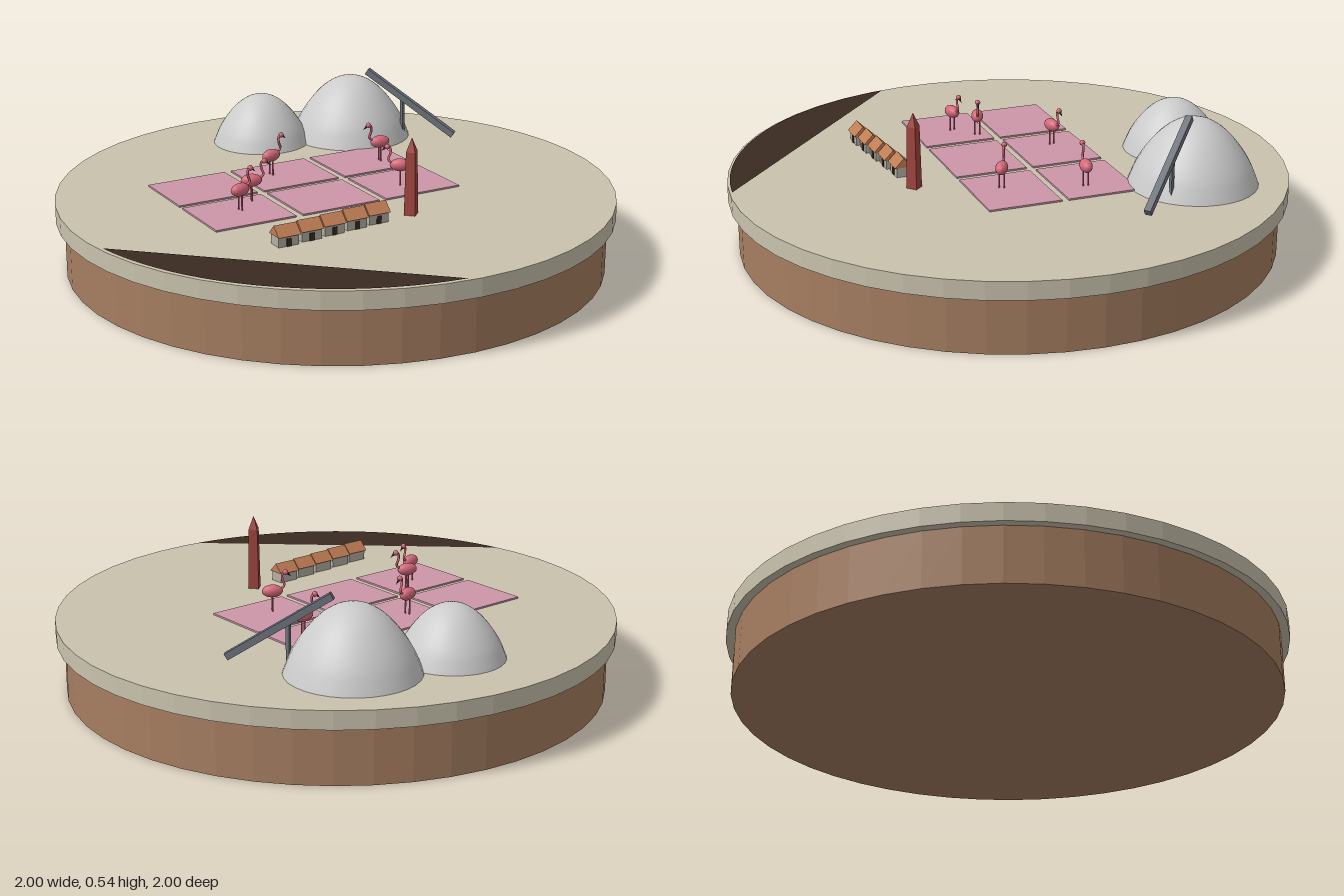
import * as THREE from 'three';

const mat = (name, color, extra = {}) => Object.assign(new THREE.MeshStandardMaterial({ color, ...extra }), { name });
const flat = { flatShading: true };
const M = {
  sand: mat('sand', 0xc9c2ad, flat),
  earth: mat('earth brown', 0xa67e61, flat),
  dark: mat('dark brown', 0x3a2b21),
  pad: mat('pond pink', 0xcb96a8),
  bird: mat('bird pink', 0xd4687a),
  salt: mat('pale grey', 0xcbcbcb),
  steel: mat('steel grey', 0x6c717a),
  brick: mat('brick red', 0xa0453f, flat),
  roof: mat('terracotta', 0xc07d55, flat),
  wall: mat('wall grey', 0xb5b0a4),
};
const V = (x, y, z) => new THREE.Vector3(x, y, z);
const TOP = 0.265;
const TURN = -0.35; // shared heading of the ponds and houses

function add(parent, name, geometry, material, x = 0, y = 0, z = 0) {
  const m = new THREE.Mesh(geometry, material);
  m.name = name;
  m.position.set(x, y, z);
  parent.add(m);
  return m;
}

function group(parent, name, x = 0, y = 0, z = 0, turn = 0) {
  const g = new THREE.Group();
  g.name = name;
  g.position.set(x, y, z);
  g.rotation.y = turn;
  parent.add(g);
  return g;
}

// Square bar between two points
function bar(parent, name, a, b, width, material) {
  const m = add(parent, name, new THREE.BoxGeometry(width, width, a.distanceTo(b)), material);
  m.position.copy(a).lerp(b, 0.5);
  m.lookAt(b);
}

// Wading bird facing local +x, feet at y = 0
function bird(parent, x, z, dx, dz) {
  const g = group(parent, 'wadingBird', x, TOP, z, -Math.atan2(dz, dx));
  const body = add(g, 'body', new THREE.SphereGeometry(1, 16, 12), M.bird, 0, 0.08, 0);
  body.scale.set(0.038, 0.023, 0.022);
  for (const s of [-1, 1]) {
    add(g, 'leg', new THREE.CylinderGeometry(0.003, 0.003, 0.07, 6), M.bird, 0, 0.035, s * 0.009);
  }
  const path = new THREE.CatmullRomCurve3([
    V(0.028, 0.085, 0), V(0.043, 0.1, 0), V(0.036, 0.122, 0), V(0.036, 0.142, 0), V(0.046, 0.15, 0),
  ]);
  add(g, 'neck', new THREE.TubeGeometry(path, 14, 0.0045, 6), M.bird);
  add(g, 'head', new THREE.SphereGeometry(0.01, 10, 8), M.bird, 0.047, 0.148, 0);
  const beak = add(g, 'beak', new THREE.ConeGeometry(0.006, 0.022, 6), M.dark, 0.06, 0.139, 0);
  beak.rotation.z = -2.3;
}

// Small terrace house with its ridge along local x
function house(parent, x, z) {
  const g = group(parent, 'house', x, TOP, z, TURN);
  add(g, 'walls', new THREE.BoxGeometry(0.076, 0.038, 0.052), M.wall, 0, 0.019, 0);
  add(g, 'door', new THREE.BoxGeometry(0.018, 0.027, 0.004), M.dark, 0, 0.0135, 0.027);
  const gable = new THREE.Shape([[-0.034, 0], [0.034, 0], [0, 0.034]].map(p => new THREE.Vector2(...p)));
  const roof = new THREE.ExtrudeGeometry(gable, { depth: 0.084, bevelEnabled: false });
  roof.translate(0, 0, -0.042).rotateY(Math.PI / 2);
  add(g, 'roof', roof, M.roof, 0, 0.036, 0);
}

// Rounded salt heap
function heap(parent, x, z, r, h) {
  const profile = [[1, 0], [0.95, 0.13], [0.86, 0.33], [0.7, 0.57], [0.5, 0.79], [0.3, 0.93], [0.13, 0.99], [0, 1]];
  const pts = new THREE.SplineCurve(profile.map(([a, b]) => new THREE.Vector2(a * r, b * h))).getPoints(20);
  pts[pts.length - 1].x = 0;
  add(parent, 'saltHeap', new THREE.LatheGeometry(pts, 32), M.salt, x, TOP, z);
}

export function createModel() {
  const model = new THREE.Group();
  model.name = 'saltPondDiorama';

  // Round base
  add(model, 'earthBase', new THREE.CylinderGeometry(0.97, 0.97, 0.2, 48), M.earth, 0, 0.1, 0);
  add(model, 'sandDisc', new THREE.CylinderGeometry(1, 1, 0.065, 48), M.sand, 0, 0.2325, 0);

  // Dark shore cut off by a straight chord
  const shore = new THREE.Shape();
  shore.absarc(0, 0, 0.99, 2.968, 4.272, false);
  add(model, 'darkShore', new THREE.ShapeGeometry(shore, 24).rotateX(-Math.PI / 2), M.dark, 0, TOP + 0.003, 0);

  // Pink ponds, three by two
  const ponds = group(model, 'ponds', -0.07, TOP, -0.0925, TURN);
  for (let i = -1; i <= 1; i++) {
    for (const j of [-0.5, 0.5]) {
      add(ponds, 'pond', new THREE.BoxGeometry(0.305, 0.008, 0.265), M.pad, i * 0.3325, 0.002, j * 0.29);
    }
  }

  // Birds: position, then heading
  for (const b of [
    [-0.055, -0.262, 1, 0.15], [-0.415, -0.08, 1, 0.12], [-0.315, -0.12, 0.8, 0.6],
    [0.335, -0.067, -0.88, -0.45], [0.16, 0.168, -0.6, -0.75],
  ]) bird(model, ...b);

  // Row of houses
  for (let i = 0; i < 5; i++) house(model, -0.553 + i * 0.09, 0.25 + i * 0.022);

  // Tapered tower with a pointed cap
  const tower = group(model, 'tower', -0.055, TOP, 0.385, 0.4);
  const square = (top, bottom, h) => new THREE.CylinderGeometry(top, bottom, h, 4).rotateY(Math.PI / 4);
  add(tower, 'shaft', square(0.023, 0.028, 0.225), M.brick, 0, 0.1125, 0);
  add(tower, 'cap', square(0, 0.023, 0.05), M.brick, 0, 0.25, 0);

  // Salt heaps and the conveyor over them
  heap(model, 0.545, -0.385, 0.23, 0.237);
  heap(model, 0.25, -0.59, 0.185, 0.187);
  const conveyor = group(model, 'conveyor');
  bar(conveyor, 'belt', V(0.705, 0.3, 0), V(0.575, 0.525, -0.325), 0.024, M.steel);
  bar(conveyor, 'post', V(0.628, TOP, -0.19), V(0.628, 0.43, -0.191), 0.012, M.steel);

  return model;
}
